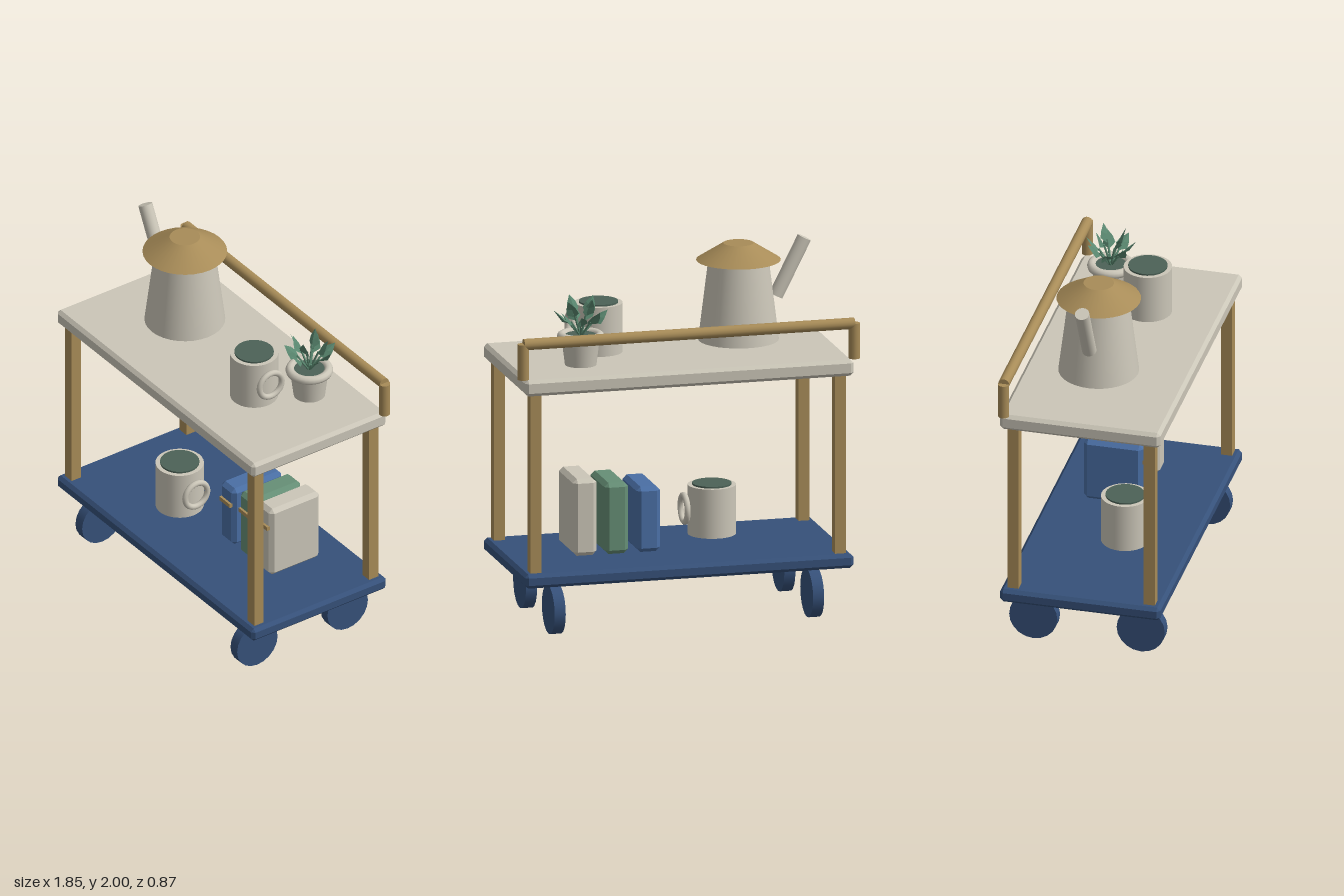
import * as THREE from 'three';
import { ConvexGeometry } from 'three/addons/geometries/ConvexGeometry.js';

const mat = (color, extra = {}) => new THREE.MeshStandardMaterial({ color, ...extra });
const cream = mat(0xcbc6b8);
const wood = mat(0xa88c58);
const navy = mat(0x36517a);
const blue = mat(0x4a6fa5);
const green = mat(0x668f76);
const dark = mat(0x4c6257);
const leafGreen = mat(0x5a8870, { side: THREE.DoubleSide, flatShading: true });

function add(parent, name, geometry, material, x = 0, y = 0, z = 0) {
  const mesh = new THREE.Mesh(geometry, material);
  mesh.name = name;
  mesh.position.set(x, y, z);
  parent.add(mesh);
  return mesh;
}

function addGroup(parent, name, x, y, z) {
  const group = new THREE.Group();
  group.name = name;
  group.position.set(x, y, z);
  parent.add(group);
  return group;
}

// Box with every edge cut by a chamfer c
function chamferBox(w, h, d, c) {
  const points = [];
  for (const sx of [-1, 1]) for (const sy of [-1, 1]) for (const sz of [-1, 1]) {
    const x = w / 2, y = h / 2, z = d / 2;
    points.push(
      new THREE.Vector3(sx * x, sy * (y - c), sz * (z - c)),
      new THREE.Vector3(sx * (x - c), sy * y, sz * (z - c)),
      new THREE.Vector3(sx * (x - c), sy * (y - c), sz * z));
  }
  return new ConvexGeometry(points);
}

const cylinder = (rTop, rBottom, h, sides = 32) => new THREE.CylinderGeometry(rTop, rBottom, h, sides);

// Mug with filled top and a ring handle beside it
function addMug(parent, name, x, y, z) {
  const mug = addGroup(parent, name, x, y, z);
  add(mug, 'mugBody', cylinder(0.127, 0.127, 0.265), cream, 0, 0.1325, 0);
  add(mug, 'mugDrink', cylinder(0.103, 0.103, 0.02), dark, 0, 0.264, 0);
  add(mug, 'mugHandle', new THREE.TorusGeometry(0.071, 0.016, 10, 28), cream, 0.15, 0.143, 0).rotation.y = Math.PI / 2;
}

// Pointed leaf blade folded along its midrib, growing along +y
function leafBlade(length, width) {
  const fold = width * 0.45;
  const p = [
    0, 0, 0,
    -width, length * 0.3, fold, width, length * 0.3, fold,
    -width * 0.75, length * 0.62, fold * 0.7, width * 0.75, length * 0.62, fold * 0.7,
    0, length, 0.008,
    0, length * 0.45, 0,
  ];
  const g = new THREE.BufferGeometry();
  g.setAttribute('position', new THREE.Float32BufferAttribute(p, 3));
  g.setIndex([0, 6, 1, 1, 6, 3, 3, 6, 5, 0, 2, 6, 2, 4, 6, 4, 5, 6]);
  g.computeVertexNormals();
  return g;
}

function addPlant(parent, x, y, z) {
  const plant = addGroup(parent, 'pottedPlant', x, y, z);
  add(plant, 'pot', cylinder(0.102, 0.083, 0.155), cream, 0, 0.0775, 0);
  add(plant, 'potRim', new THREE.TorusGeometry(0.101, 0.024, 10, 32), cream, 0, 0.153, 0).rotation.x = Math.PI / 2;
  add(plant, 'soil', cylinder(0.09, 0.09, 0.02), dark, 0, 0.152, 0);
  const rings = [
    { count: 7, tilt: 0.62, stem: 0.1, blade: 0.11, turn: 0.2 },
    { count: 4, tilt: 0.28, stem: 0.13, blade: 0.11, turn: 0.6 },
  ];
  for (const { count, tilt, stem, blade, turn } of rings) {
    for (let i = 0; i < count; i++) {
      const leaf = addGroup(plant, 'leaf', 0, 0.15, 0);
      leaf.rotation.order = 'YXZ';
      leaf.rotation.y = turn + (i / count) * Math.PI * 2;
      leaf.rotation.x = tilt + (i % 2) * 0.1;
      add(leaf, 'leafStem', cylinder(0.005, 0.006, stem + 0.02, 6), leafGreen, 0, stem / 2, 0);
      const b = add(leaf, 'leafBlade', leafBlade(blade, 0.034), leafGreen, 0, stem - 0.01, 0);
      b.rotation.set(0.12, i % 2 ? 0.5 : -0.4, 0);
    }
  }
}

export function createModel() {
  const cart = new THREE.Group();
  cart.name = 'servingCart';

  // Shelves
  add(cart, 'lowerShelf', chamferBox(1.78, 0.076, 0.865, 0.018), navy, 0, 0.322, 0);
  add(cart, 'upperShelf', chamferBox(1.78, 0.088, 0.865, 0.018), cream, 0, 1.364, 0);

  // Corner posts and wheels
  for (const sx of [-1, 1]) for (const sz of [-1, 1]) {
    add(cart, 'post', new THREE.BoxGeometry(0.06, 0.98, 0.06), wood, sx * 0.825, 0.84, sz * 0.368);
    const wheel = add(cart, 'wheel', cylinder(0.13, 0.13, 0.06, 20), navy, sx * 0.7, 0.133, sz * 0.29);
    wheel.rotation.z = Math.PI / 2;
    add(cart, 'wheelStem', cylinder(0.025, 0.025, 0.06, 12), navy, sx * 0.7, 0.265, sz * 0.29);
  }

  // Push rail along the back edge
  add(cart, 'rail', cylinder(0.03, 0.03, 1.79, 14), wood, 0, 1.6, -0.408).rotation.z = Math.PI / 2;
  for (const sx of [-1, 1]) {
    add(cart, 'railSupport', cylinder(0.03, 0.03, 0.19, 14), wood, sx * 0.897, 1.507, -0.408);
  }

  // Kettle with a wide lid and a slanted spout
  const kettle = addGroup(cart, 'kettle', -0.371, 0, -0.027);
  add(kettle, 'kettleBody', cylinder(0.16, 0.212, 0.42), cream, 0, 1.668, 0);
  add(kettle, 'kettleLid', cylinder(0.08, 0.222, 0.09), wood, 0, 1.931, 0);
  const from = new THREE.Vector3(-0.203, 1.68, 0), to = new THREE.Vector3(-0.357, 1.983, 0);
  const spout = add(kettle, 'kettleSpout', cylinder(0.038, 0.038, from.distanceTo(to), 20), cream);
  spout.position.lerpVectors(from, to, 0.5);
  spout.quaternion.setFromUnitVectors(new THREE.Vector3(0, 1, 0), to.clone().sub(from).normalize());

  // Mugs and plant
  addMug(cart, 'upperMug', 0.366, 1.42, 0.052);
  addMug(cart, 'lowerMug', -0.257, 0.39, 0.087);
  addPlant(cart, 0.527, 1.417, -0.188);

  // Books standing on the lower shelf, each with a spine band
  const books = [
    { x: 0.168, top: 0.742, z: -0.072, band: 0.644, material: blue },
    { x: 0.341, top: 0.774, z: -0.072, band: 0.668, material: green },
    { x: 0.511, top: 0.805, z: -0.068, band: 0.691, material: cream },
  ];
  for (const { x, top, z, band, material } of books) {
    const book = addGroup(cart, 'book', x, 0, z);
    const h = top - 0.39;
    add(book, 'bookCover', chamferBox(0.128, h, 0.32, 0.022), material, 0, 0.39 + h / 2, 0);
    add(book, 'spineBand', new THREE.BoxGeometry(0.093, 0.023, 0.02), wood, 0, band, 0.163);
  }
  return cart;
}
